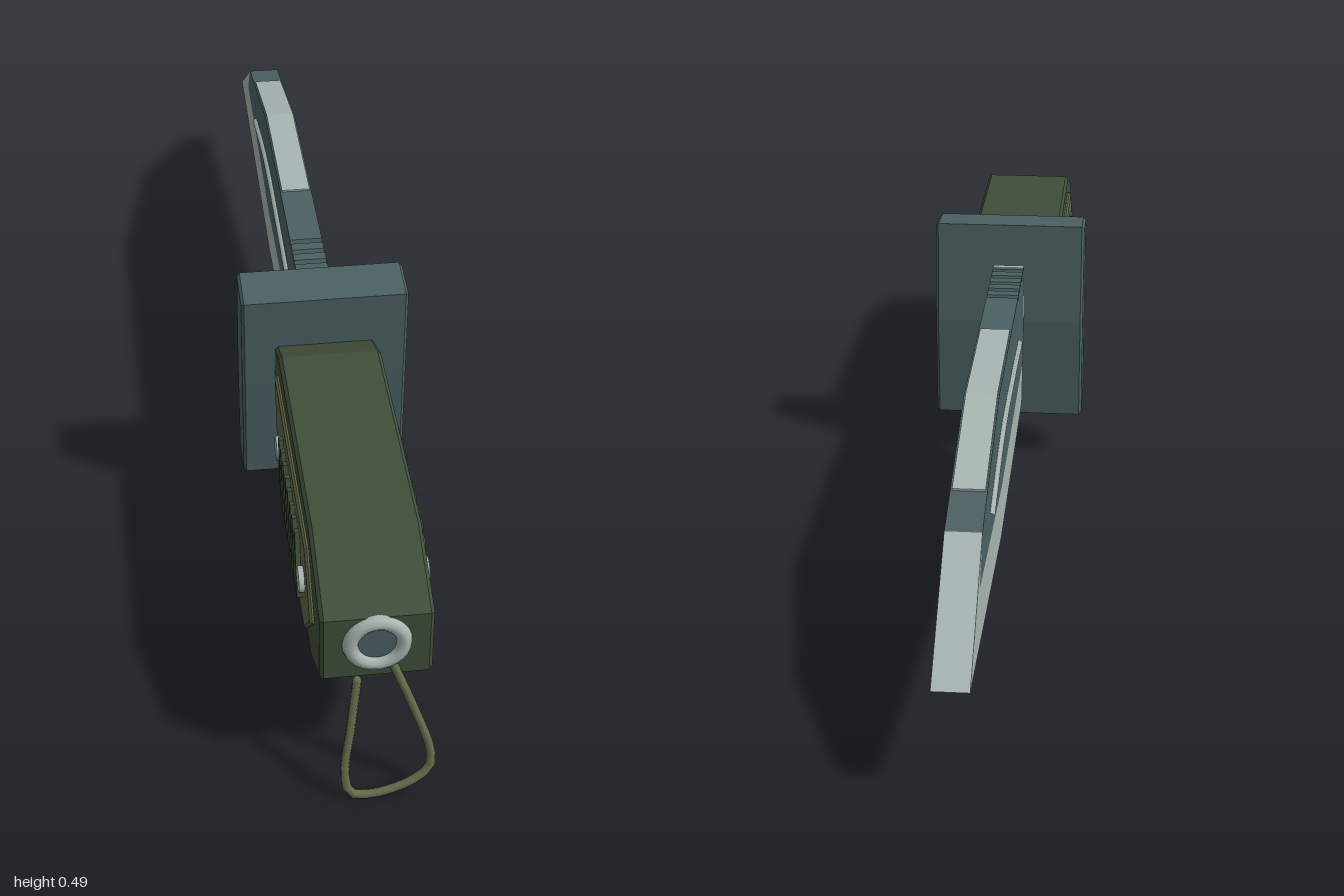
import * as THREE from 'three';

const mat = (name, color) => {
  const m = new THREE.MeshStandardMaterial({ color });
  m.name = name;
  return m;
};

export function createModel() {
  const group = new THREE.Group();
  group.name = 'knife';
  const steel = mat('lightSteel', 0xa9b6b2);
  const teal = mat('darkSteel', 0x4b6163);
  const green = mat('handleGreen', 0x3f4e39);
  const olive = mat('gripOlive', 0x5c6644);
  const cord = mat('cordOlive', 0x646e4b);

  const add = (name, geometry, material) => {
    const mesh = new THREE.Mesh(geometry, material);
    mesh.name = name;
    group.add(mesh);
    return mesh;
  };

  // Side profile of [z, y] points, given a width along x and an inset bevel
  const slab = (name, points, width, material, bevel = 0, x = 0) => {
    const shape = new THREE.Shape(points.map(([z, y]) => new THREE.Vector2(-z, y)));
    const depth = width - 2 * bevel;
    const geo = new THREE.ExtrudeGeometry(shape, {
      depth, bevelEnabled: bevel > 0, bevelSize: bevel, bevelThickness: bevel,
      bevelOffset: -bevel, bevelSegments: 1,
    });
    geo.translate(0, 0, -depth / 2).rotateY(Math.PI / 2).translate(x, 0, 0);
    return add(name, geo, material);
  };

  // Handle and cross guard
  slab('handle', [
    [0.943, 0.347], [0.80, 0.407], [0.367, 0.418], [0.297, 0.39],
    [0.297, 0.335], [0.34, 0.182], [0.84, 0.167], [0.943, 0.226],
  ], 0.178, green, 0.006);
  slab('guard', [
    [0.303, 0.488], [0.217, 0.497], [0.198, 0.30], [0.206, 0.096],
    [0.287, 0.101], [0.296, 0.31],
  ], 0.294, teal, 0.005);

  // Dark blade body with a notched spine near the guard
  const spine = [];
  for (let i = 0; i < 5; i++) {
    const z = 0.165 - i * 0.034;
    spine.push([z, 0.424], [z - 0.003, 0.416], [z - 0.010, 0.416], [z - 0.013, 0.424]);
  }
  slab('bladeBody', [
    [0.181, 0.423], ...spine, [-0.437, 0.428], [-0.775, 0.348],
    [-0.828, 0.279], [-0.385, 0.228], [0.158, 0.23], [0.179, 0.30],
  ], 0.06, teal);

  // Light cutting edge, tip and thin strip along the blade's base
  slab('cuttingEdge', [
    [0.19, 0.423], [0.181, 0.423], [0.179, 0.30], [0.158, 0.23],
    [-0.385, 0.228], [-0.828, 0.279], [-0.775, 0.348], [-0.997, 0.198],
    [-0.394, 0.134], [0.137, 0.15], [0.188, 0.30],
  ], 0.06, steel);
  slab('spineStrip', [
    [-0.15, 0.424], [-0.15, 0.429], [-0.437, 0.431], [-0.68, 0.374],
    [-0.68, 0.368], [-0.437, 0.425],
  ], 0.054, steel);

  // Details mirrored on both sides
  for (const side of [1, -1]) {
    const rail = new THREE.CatmullRomCurve3([
      [0.03, 0.326], [-0.18, 0.338], [-0.36, 0.343], [-0.48, 0.332], [-0.635, 0.302],
    ].map(([z, y]) => new THREE.Vector3(side * 0.031, y, z)));
    add('bladeRib', new THREE.TubeGeometry(rail, 20, 0.007, 6), steel);

    slab('gripPanel', [
      [0.877, 0.28], [0.80, 0.37], [0.36, 0.375], [0.405, 0.203], [0.797, 0.193],
    ], 0.016, olive, 0.004, side * 0.088);

    for (let i = 0; i < 8; i++) {
      const ridge = add('gripRidge', new THREE.BoxGeometry(0.014, 0.116, 0.016), green);
      ridge.position.set(side * 0.097, 0.288, 0.745 - i * 0.0335);
      ridge.rotation.x = -0.28;
    }
    for (const z of [0.788, 0.46]) {
      const rivet = add('rivet', new THREE.CylinderGeometry(0.022, 0.022, 0.02, 12), steel);
      rivet.rotation.z = Math.PI / 2;
      rivet.position.set(side * 0.095, 0.293, z);
    }
  }

  // Pommel ring around a dark eyelet
  const ring = add('pommelRing', new THREE.TorusGeometry(0.042, 0.013, 10, 28), steel);
  ring.position.set(0, 0.295, 0.942);
  const eyelet = add('eyelet', new THREE.CylinderGeometry(0.034, 0.034, 0.008, 20), teal);
  eyelet.rotation.x = Math.PI / 2;
  eyelet.position.set(0, 0.297, 0.941);

  // Hanging cord loop, leaning outward
  const loop = new THREE.CatmullRomCurve3([
    [-0.031, 0.222], [-0.043, 0.13], [-0.053, 0.055], [-0.045, 0.016], [-0.011, 0.01],
    [0.053, 0.028], [0.083, 0.054], [0.084, 0.085], [0.058, 0.165], [0.027, 0.245],
  ].map(([x, y]) => new THREE.Vector3(x, y, 0.993 - (y - 0.01) * 0.21)));
  add('cordLoop', new THREE.TubeGeometry(loop, 28, 0.0075, 7), cord);
  // Cord ends
  for (const t of [0, 1]) {
    const end = add('cordEnd', new THREE.SphereGeometry(0.0075, 7, 5), cord);
    end.position.copy(loop.getPoint(t));
  }

  return group;
}
